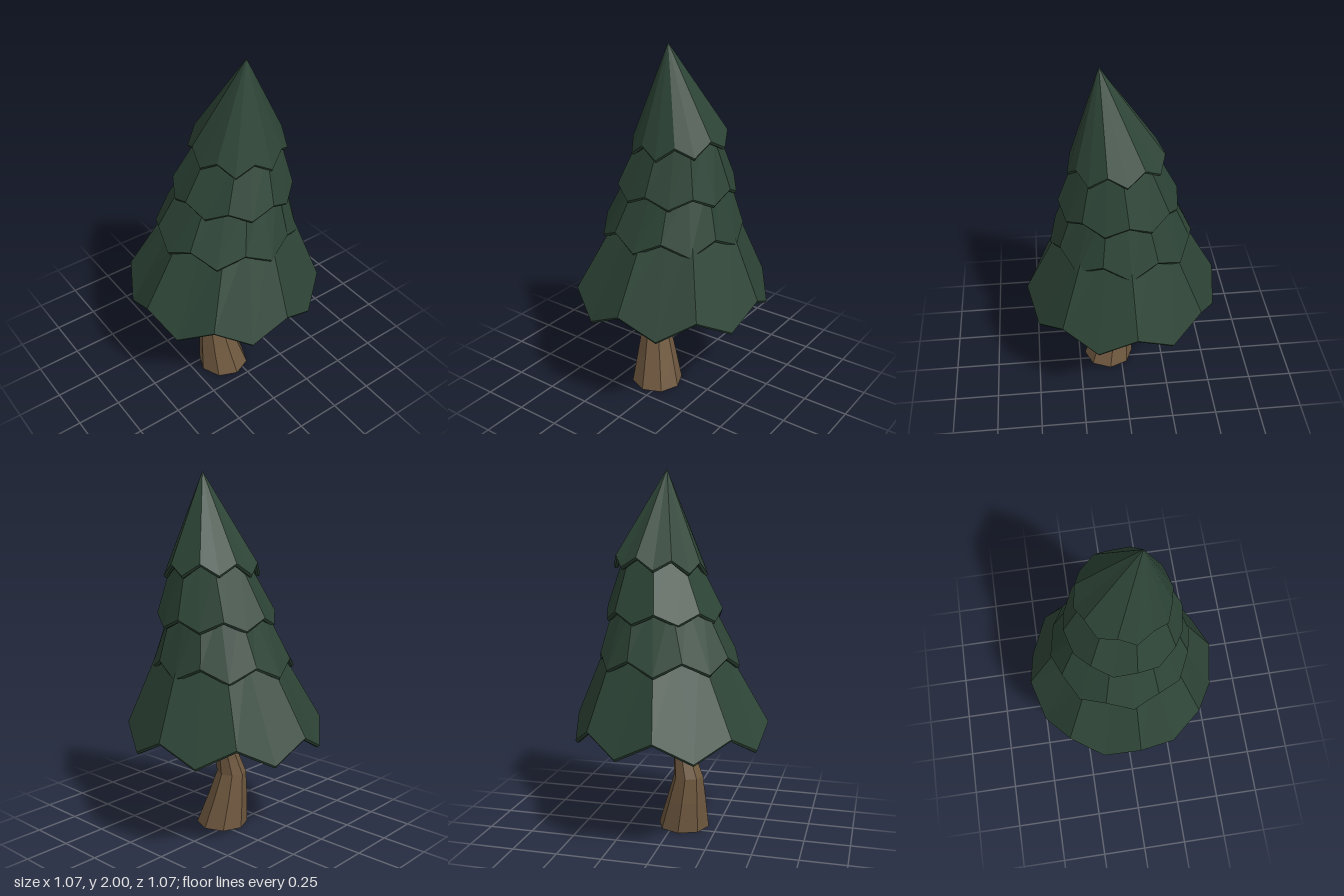
import * as THREE from 'three';

const LOBES = 8;

// Skin a list of equal-length closed rings, ordered from top to bottom on the outside.
function loft(rings) {
  const n = rings[0].length;
  const index = [];
  for (let i = 0; i < rings.length - 1; i++) {
    for (let j = 0; j < n; j++) {
      const k = (j + 1) % n;
      const a = i * n + j, b = i * n + k, c = (i + 1) * n + k, d = (i + 1) * n + j;
      index.push(a, b, c, a, c, d);
    }
  }
  const geometry = new THREE.BufferGeometry().setFromPoints(rings.flat());
  geometry.setIndex(index);
  geometry.computeVertexNormals();
  return geometry;
}

// Ring with alternating ridge points and lobe points (lobe points lie mid-facet).
function lobedRing([cx, cz], ridge, lobe, offset, lean = [0, 0]) {
  return Array.from({ length: LOBES * 2 }, (_, j) => {
    const t = THREE.MathUtils.degToRad(offset) + (j * Math.PI) / LOBES;
    const [r, y] = j % 2 ? lobe : ridge;
    const dx = r * Math.cos(t), dz = r * Math.sin(t);
    return new THREE.Vector3(cx + dx, y + lean[0] * dx + lean[1] * dz, cz + dz);
  });
}

// One hollow skirt of branches with a scalloped, rounded hem.
function tierGeometry({ top, topR, topY, base, ridge, lobe, offset, ceiling, lean }) {
  const apothem = Math.cos(Math.PI / LOBES);
  const hem = (dr, dy) => lobedRing(base, [ridge[0] - dr, ridge[1] - dy],
    [lobe[0] - dr, lobe[1] - dy], offset, lean);
  const inside = (r) => lobedRing(base, [r, ceiling], [r * apothem, ceiling], offset);
  return loft([
    lobedRing(top, [topR, topY], [topR * apothem, topY], offset),
    hem(0, 0),
    hem(0.008, 0.013),
    hem(0.022, 0.012),
    hem(0.03, 0),
    inside(ridge[0] * 0.42),
    inside(0),
  ]);
}

export function createModel() {
  const tree = new THREE.Group();
  tree.name = 'pineTree';
  const green = new THREE.MeshStandardMaterial({ color: 0x2d4436, flatShading: true });
  const brown = new THREE.MeshStandardMaterial({ color: 0x6f583f, flatShading: true });

  // Foliage, from the widest skirt to the pointed crown
  const tiers = [
    { name: 'bottomBranches', top: [0.04, 0.01], topR: 0.32, topY: 1.08, base: [0, 0],
      ridge: [0.535, 0.655], lobe: [0.535, 0.55], offset: -4, ceiling: 0.8 },
    { name: 'lowerMiddleBranches', top: [0.055, 0.012], topR: 0.255, topY: 1.32, base: [0.015, 0],
      ridge: [0.375, 1.03], lobe: [0.39, 0.96], offset: 20, ceiling: 1.1 },
    { name: 'upperMiddleBranches', top: [0.075, 0.04], topR: 0.2, topY: 1.54, base: [0.045, 0.02],
      ridge: [0.318, 1.265], lobe: [0.318, 1.21], offset: -5, ceiling: 1.34 },
    { name: 'crown', top: [0.055, 0.11], topR: 0, topY: 2, base: [0.07, 0.027],
      ridge: [0.245, 1.525], lobe: [0.258, 1.465], offset: 16, ceiling: 1.6, lean: [0.07, -0.08] },
  ];
  for (const tier of tiers) {
    const mesh = new THREE.Mesh(tierGeometry(tier), green);
    mesh.name = tier.name;
    tree.add(mesh);
  }

  // Crooked trunk: [x, y, z, radius] from top to bottom, closed underneath
  const trunkSections = [
    [0, 0.84, 0.04, 0.045],
    [-0.03, 0.62, 0.05, 0.048],
    [-0.043, 0.49, 0.046, 0.055],
    [-0.07, 0.4, 0.04, 0.068],
    [-0.09, 0.31, 0.033, 0.084],
    [-0.075, 0.17, 0.048, 0.112],
    [-0.055, 0, 0.072, 0.146],
    [-0.055, 0, 0.072, 0],
  ];
  const trunk = new THREE.Mesh(loft(trunkSections.map(([x, y, z, r]) =>
    Array.from({ length: 8 }, (_, j) => {
      const t = (j * Math.PI) / 4;
      return new THREE.Vector3(x + r * Math.cos(t), y, z + r * Math.sin(t));
    }))), brown);
  trunk.name = 'trunk';
  tree.add(trunk);

  return tree;
}
